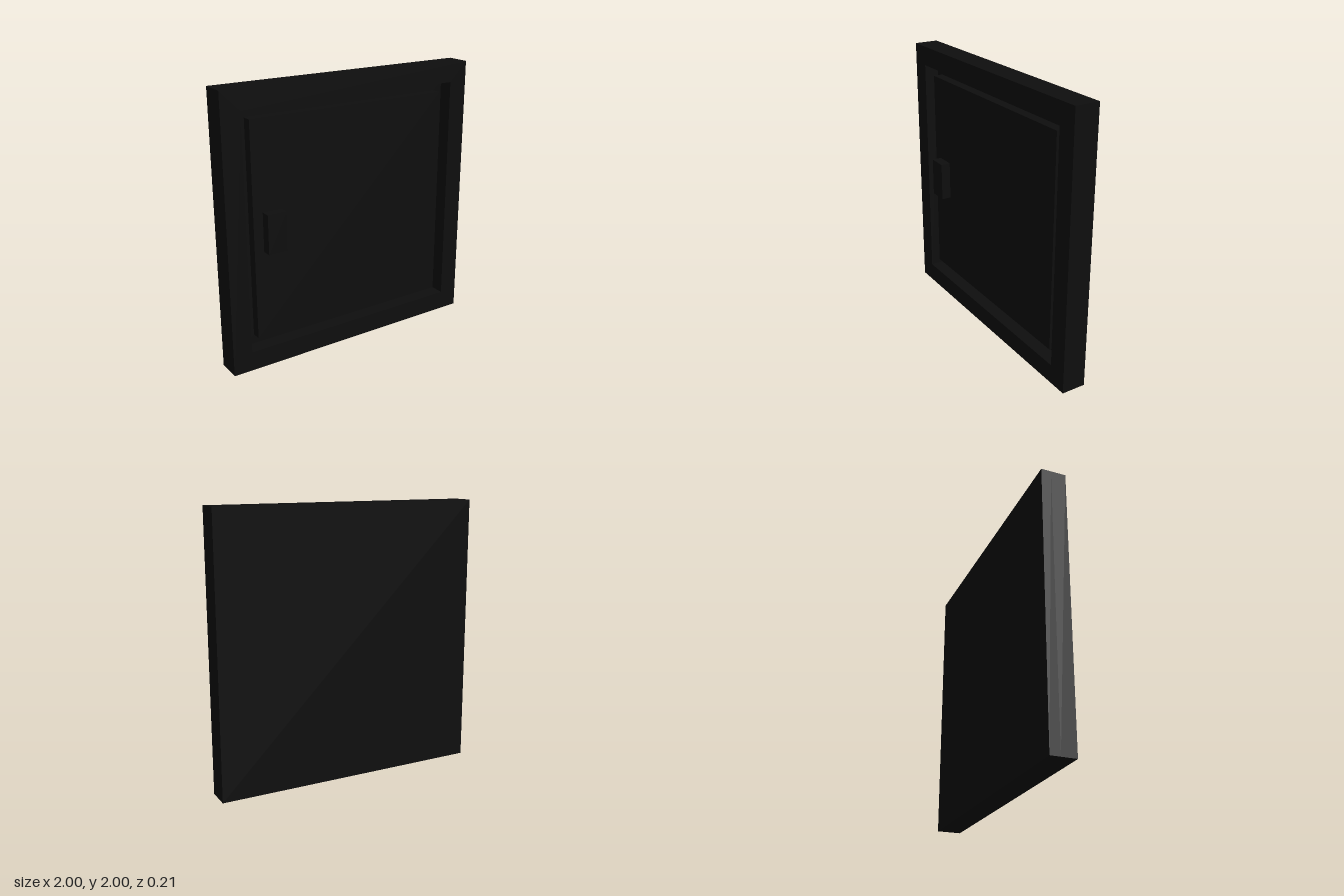
import * as THREE from 'three';

const U = 1 / 14; // module size of the design
const black = new THREE.MeshStandardMaterial({ color: 0x0e0e0e });
black.name = 'black';

function add(group, name, geometry, x, y, z) {
  const mesh = new THREE.Mesh(geometry, black);
  mesh.name = name;
  mesh.position.set(x, y, z);
  group.add(mesh);
}

// Counter-clockwise square of half-size h
function square(Type, h) {
  return new Type([[-h, -h], [h, -h], [h, h], [-h, h]].map(([x, y]) => new THREE.Vector2(x, y)));
}

export function createModel() {
  const group = new THREE.Group();
  group.name = 'cabinetDoor';

  // Solid back board
  add(group, 'backBoard', new THREE.BoxGeometry(2, 2, U), 0, 1, -U);

  // Raised border with a square opening
  const border = square(THREE.Shape, 1);
  border.holes.push(square(THREE.Path, 12 * U));
  add(group, 'frame', new THREE.ExtrudeGeometry(border, { depth: 1.5 * U, bevelEnabled: false }), 0, 1, -0.5 * U);

  // Door panel inside the opening, leaving a groove all round
  add(group, 'doorPanel', new THREE.BoxGeometry(22 * U, 22 * U, U), 0, 1, 0);

  // Handle block on the panel
  add(group, 'handle', new THREE.BoxGeometry(2 * U, 4 * U, U), -9 * U, 1, U);

  return group;
}
